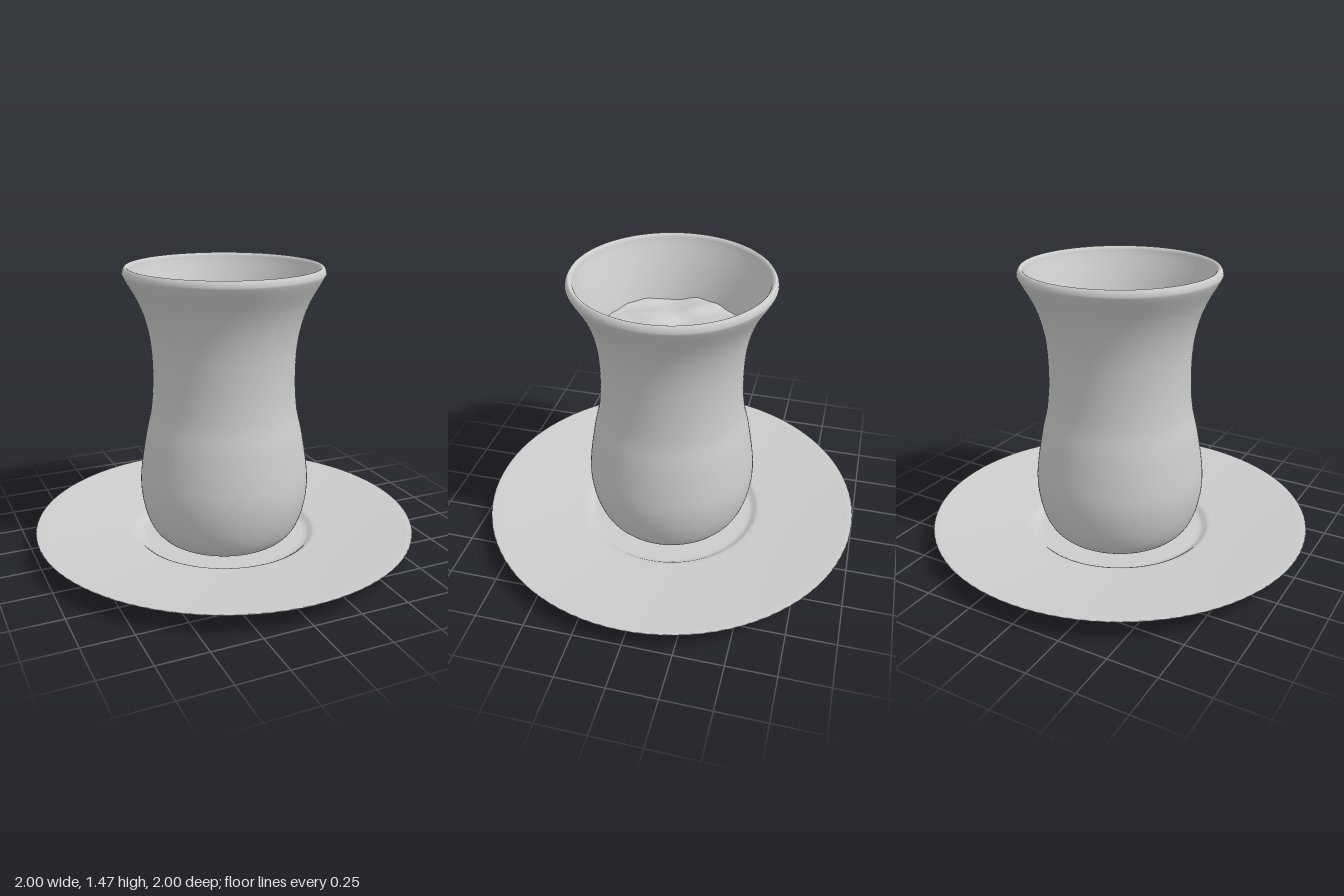
import * as THREE from 'three';
import { mergeVertices } from 'three/addons/utils/BufferGeometryUtils.js';

const SEGMENTS = 96;
const material = new THREE.MeshStandardMaterial({ color: 0xcccccc, side: THREE.DoubleSide });
const points = (list) => list.map(([r, y]) => new THREE.Vector2(r, y));

function lathe(name, profile) {
  const mesh = new THREE.Mesh(new THREE.LatheGeometry(profile, SEGMENTS), material);
  mesh.name = name;
  return mesh;
}

// Waisted cup: outer wall from the foot up, over the rounded lip, down the inner wall
function createCup() {
  const wall = new THREE.SplineCurve(points([
    [0.30, 0.035], [0.345, 0.055], [0.39, 0.11], [0.423, 0.2], [0.44, 0.31], [0.436, 0.42],
    [0.408, 0.6], [0.378, 0.74], [0.366, 0.9], [0.372, 1.07], [0.396, 1.2], [0.437, 1.31],
    [0.498, 1.42], [0.506, 1.45], [0.492, 1.474], [0.475, 1.465], [0.462, 1.43], [0.41, 1.31],
    [0.366, 1.18], [0.342, 1.05], [0.336, 0.9], [0.348, 0.74], [0.38, 0.58], [0.406, 0.42],
    [0.41, 0.3], [0.385, 0.17], [0.3, 0.09],
  ])).getPoints(130);
  const centre = (y) => new THREE.Vector2(0, y);
  return lathe('cup', [centre(0.035), new THREE.Vector2(0.295, 0.035), ...wall, centre(0.085)]);
}

// Shallow saucer; paired close points keep the edges of the foot, rim and well crisp
function createSaucer() {
  return lathe('saucer', points([
    [0, 0.008], [0.44, 0.008], [0.455, 0.008], [0.458, 0.01], [0.475, 0.017], [0.6, 0.036],
    [0.8, 0.07], [0.96, 0.1], [0.995, 0.107], [1, 0.111], [0.995, 0.114], [0.96, 0.11],
    [0.8, 0.09], [0.6, 0.069], [0.5, 0.061], [0.482, 0.059], [0.47, 0.053], [0.455, 0.04],
    [0.44, 0.035], [0.42, 0.034], [0, 0.034],
  ]));
}

// Rippled surface of the drink, meeting the inner wall
function createDrink() {
  let geometry = new THREE.RingGeometry(0.0001, 0.366, SEGMENTS, 16);
  geometry.rotateX(-Math.PI / 2);
  geometry.deleteAttribute('uv');
  geometry.deleteAttribute('normal');
  geometry = mergeVertices(geometry, 1e-5);
  const p = geometry.attributes.position;
  for (let i = 0; i < p.count; i++) {
    const x = p.getX(i), z = p.getZ(i);
    const swell = 0.009 * Math.sin(11 * x + 5 * z + 2 * Math.sin(9 * z));
    const ripple = 0.007 * Math.sin(17 * z - 8 * x + 1.5 * Math.sin(14 * x));
    const edge = 0.004 * Math.sin(41 * x + 1) * Math.sin(37 * z) * Math.hypot(x, z) / 0.366;
    p.setY(i, 1.165 + swell + ripple + edge);
  }
  geometry.computeVertexNormals();
  const mesh = new THREE.Mesh(geometry, material);
  mesh.name = 'drinkSurface';
  return mesh;
}

export function createModel() {
  const group = new THREE.Group();
  group.name = 'cupAndSaucer';
  group.add(createSaucer(), createCup(), createDrink());
  return group;
}
